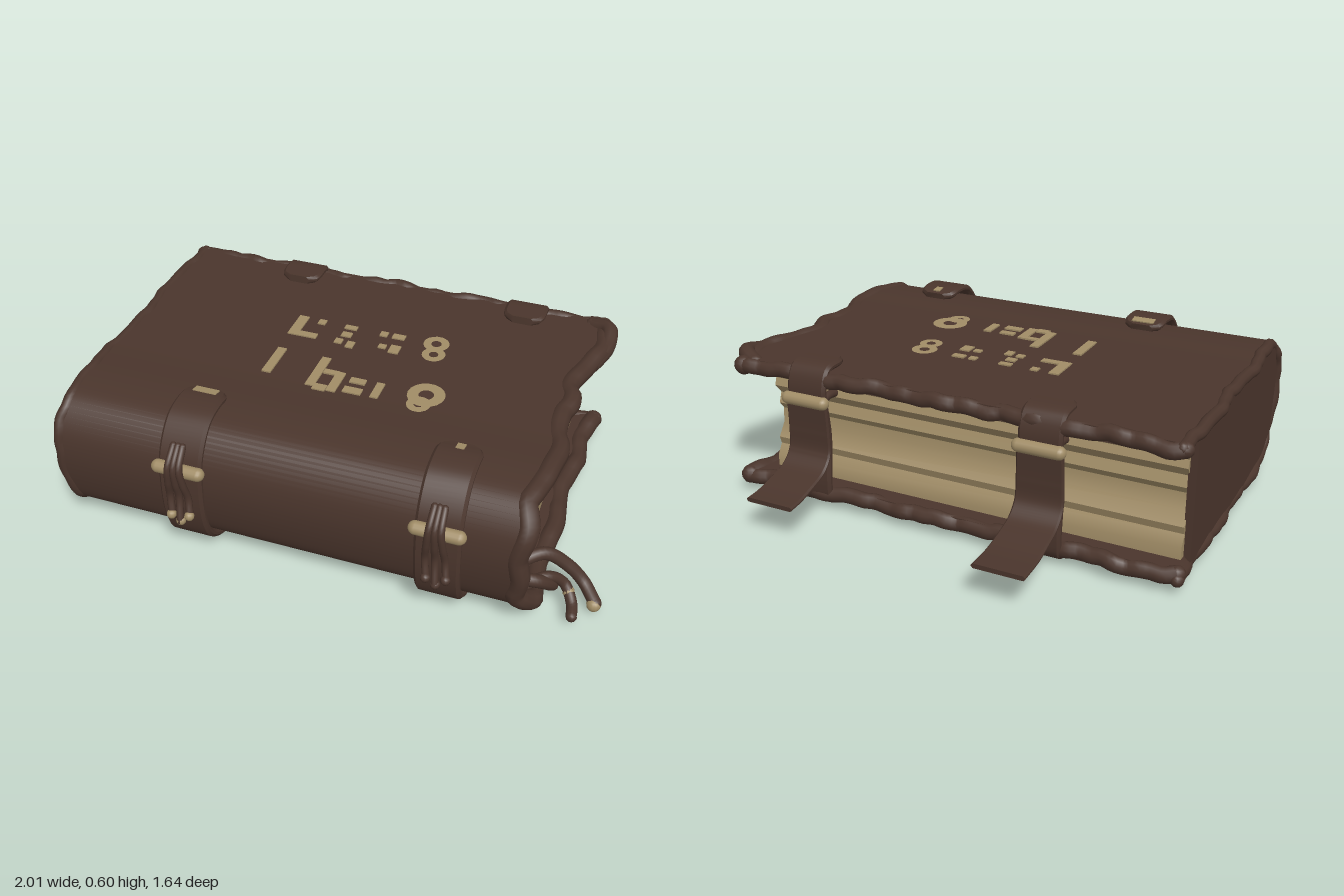
import * as THREE from 'three';
import { toCreasedNormals } from 'three/addons/utils/BufferGeometryUtils.js';

const leather = new THREE.MeshStandardMaterial({ color: 0x4a352c });
leather.name = 'brown leather';
const parchment = new THREE.MeshStandardMaterial({ color: 0xa08c66 });
parchment.name = 'parchment';

const V = (x, y, z) => new THREE.Vector3(x, y, z);
const curveZY = pts => new THREE.CatmullRomCurve3(pts.map(([z, y]) => V(0, y, z)), false, 'centripetal');
// irregular wobble for worn edges
const wobble = t => 0.5 * Math.sin(t * 17 + 1) + 0.3 * Math.sin(t * 41) + 0.2 * Math.sin(t * 83 + 2);

function add(parent, name, geo, mat, x = 0, y = 0, z = 0) {
  const mesh = new THREE.Mesh(geo, mat);
  mesh.name = name;
  mesh.position.set(x, y, z);
  parent.add(mesh);
  return mesh;
}

// bent sheet: a bevelled cross-section follows a curve in the z-y plane
function sheet(curve, thick, left, right, steps) {
  const pos = [], index = [], b = thick * 0.35, n = 8;
  for (let i = 0; i <= steps; i++) {
    const s = i / steps, p = curve.getPointAt(s), t = curve.getTangentAt(s);
    const l = left(s), r = right(s);
    const ring = [[l + b, 0], [r - b, 0], [r, -b], [r, b - thick],
      [r - b, -thick], [l + b, -thick], [l, b - thick], [l, -b]];
    for (const [x, d] of ring) pos.push(x, p.y + t.z * d, p.z - t.y * d);
  }
  for (let i = 0; i < steps; i++) for (let j = 0; j < n; j++) {
    const a = i * n + j, c = i * n + (j + 1) % n;
    index.push(a, a + n, c, a + n, c + n, c);
  }
  const e = steps * n;
  for (let j = 1; j < n - 1; j++) index.push(0, j, j + 1, e, e + j + 1, e + j);
  const g = new THREE.BufferGeometry();
  g.setAttribute('position', new THREE.Float32BufferAttribute(pos, 3));
  g.setIndex(index);
  return toCreasedNormals(g, 0.6);
}

// cord or rolled edge with rounded ends
function cord(parent, name, pts, r, mat = leather, steps = 24) {
  const c = new THREE.CatmullRomCurve3(pts, false, 'centripetal');
  const g = new THREE.Group();
  g.name = name;
  add(g, name + 'Run', new THREE.TubeGeometry(c, steps, r, 10), mat);
  for (const p of [pts[0], pts[pts.length - 1]])
    add(g, name + 'Tip', new THREE.SphereGeometry(r, 10, 8), mat, p.x, p.y, p.z);
  parent.add(g);
}

// solid with a z-y outline, spanning x0 to x1
function slab(outline, x0, x1) {
  const shape = new THREE.Shape(outline.map(([z, y]) => new THREE.Vector2(z, y)));
  const g = new THREE.ExtrudeGeometry(shape, { depth: x1 - x0, bevelEnabled: false });
  return toCreasedNormals(g.rotateY(-Math.PI / 2).translate(x1, 0, 0), 0.6);
}

// torn right edge of the cover, linear between (position along the wrap, x) pairs
const TORN = [[0, 0.79], [0.06, 0.82], [0.14, 0.755], [0.16, 0.74], [0.19, 0.78], [0.22, 0.755], [0.26, 0.76], [0.29, 0.795],
  [0.35, 0.78], [0.40, 0.75], [0.44, 0.78], [0.48, 0.75], [0.52, 0.765], [0.55, 0.75], [0.60, 0.80], [0.68, 0.77],
  [0.76, 0.79], [0.83, 0.76], [0.9, 0.79], [0.95, 0.77], [1, 0.80]];
function tornEdge(s) {
  let i = 0;
  while (i < TORN.length - 2 && s > TORN[i + 1][0]) i++;
  const [a, xa] = TORN[i], [b, xb] = TORN[i + 1];
  return THREE.MathUtils.lerp(xa, xb, (s - a) / (b - a));
}
const leftEdge = s => -0.982 + 0.012 * wobble(s * 2);

function createCover(book) {
  const path = curveZY([[-0.48, 0.55], [-0.3, 0.55], [0, 0.55], [0.3, 0.55], [0.52, 0.56], [0.64, 0.54], [0.71, 0.46],
    [0.735, 0.36], [0.725, 0.22], [0.69, 0.12], [0.6, 0.05], [0.45, 0.03], [0, 0.028], [-0.48, 0.035]]);
  add(book, 'cover', sheet(path, 0.05, leftEdge, tornEdge, 140), leather);

  // rolled leather along the open ends
  const roll = (x, inset, bump) => Array.from({ length: 61 }, (_, i) => {
    const s = i / 60, p = path.getPointAt(s), t = path.getTangentAt(s), d = inset + bump * wobble(s * 3);
    return V(x(s), p.y - t.z * d, p.z + t.y * d);
  });
  cord(book, 'rightRolledEdge', roll(s => tornEdge(s) - 0.03, 0.025, 0.006), 0.037, leather, 160);
  cord(book, 'leftRolledEdge', roll(s => leftEdge(s) + 0.01, 0.016, 0.003), 0.024, leather, 160);
  for (const [name, y] of [['topBackEdge', 0.525], ['bottomBackEdge', 0.06]]) {
    const pts = Array.from({ length: 41 }, (_, i) => {
      const t = i / 40;
      return V(-0.97 + 1.74 * t, y + 0.008 * wobble(t * 2 + y), -0.473 + 0.014 * wobble(t * 1.6 + y));
    });
    cord(book, name, pts, 0.03, leather, 100);
  }
  // curled corner at the upper right
  cord(book, 'curledCorner', [V(0.72, 0.53, -0.46), V(0.79, 0.55, -0.42), V(0.8, 0.53, -0.33), V(0.77, 0.52, -0.22)], 0.032);

  // closed left end
  const outline = path.getSpacedPoints(80).filter(p => p.z > -0.4).map(p => [p.z * 0.985, 0.29 + (p.y - 0.29) * 0.96]);
  add(book, 'leftEndWall', slab(outline, -0.985, -0.955), leather);
}

function createPages(book) {
  add(book, 'pages', slab([[-0.40, 0.07], [-0.40, 0.13], [-0.375, 0.17], [-0.385, 0.2], [-0.35, 0.25], [-0.345, 0.31],
    [-0.37, 0.34], [-0.355, 0.38], [-0.39, 0.42], [-0.38, 0.45], [-0.40, 0.48], [-0.40, 0.51], [0.55, 0.51],
    [0.63, 0.48], [0.68, 0.4], [0.69, 0.3], [0.68, 0.19], [0.64, 0.11], [0.57, 0.07]].reverse(), -0.96, 0.69), parchment);
}

function createStrap(book, x, tailEnd, tipMat) {
  const strap = new THREE.Group();
  strap.name = x < 0 ? 'rightStrap' : 'leftStrap';
  strap.position.x = x;
  book.add(strap);

  // band round the spine, underside and back, with rounded tongues on top
  const path = curveZY([[0.47, 0.585], [0.55, 0.6], [0.65, 0.58], [0.735, 0.48], [0.76, 0.36], [0.755, 0.2], [0.715, 0.1],
    [0.61, 0.025], [0.45, 0.008], [0, 0.003], [-0.45, 0.01], [-0.5, 0.04], [-0.51, 0.1], [-0.497, 0.3], [-0.515, 0.5],
    [-0.48, 0.57], [-0.35, 0.58]]);
  const half = s => {
    const e = Math.min(1, Math.min(s, 1 - s) / 0.02);
    return 0.082 * (0.55 + 0.45 * Math.sqrt(1 - (1 - e) ** 2));
  };
  add(strap, 'strapBand', sheet(path, 0.03, s => -half(s), half, 150), leather);

  // loose tail at the back
  const tail = curveZY([[tailEnd, 0.145], [-0.72, 0.15], [-0.64, 0.168], [-0.56, 0.195], [-0.52, 0.24], [-0.515, 0.32], [-0.52, 0.43]]);
  add(strap, 'strapTail', sheet(tail, 0.018, s => -0.1 + 0.01 * s, s => 0.095 - 0.01 * s, 50), leather);

  // pale loops holding the strap
  const bar = (name, len, y, z) => {
    const m = add(strap, name, new THREE.CapsuleGeometry(0.025, len, 6, 14), parchment, 0, y, z);
    m.rotation.z = Math.PI / 2;
  };
  bar('frontLoop', 0.15, 0.43, 0.758);
  bar('backLoop', 0.15, 0.445, -0.518);
  cord(strap, 'innerTieUpper', [V(-0.04, 0.43, -0.36), V(-0.04, 0.44, -0.43), V(-0.04, 0.42, -0.5)], 0.016);
  cord(strap, 'innerTieLower', [V(0.03, 0.37, -0.35), V(0.03, 0.35, -0.42), V(0.03, 0.36, -0.5)], 0.014);

  // hanging laces with knotted ends
  [[-0.035, 0.25], [0.0, 0.23], [0.035, 0.26]].forEach(([dx, y], i) => {
    cord(strap, 'lace', [V(dx * 0.5, 0.52, 0.735), V(dx * 0.6, 0.46, 0.785), V(dx * 0.8, 0.39, 0.785),
      V(dx, 0.32, 0.772), V(dx + 0.01, y, 0.79 + 0.01 * (i % 2))], 0.013);
    add(strap, 'laceKnot', new THREE.SphereGeometry(0.018, 10, 8), tipMat, dx + 0.01, y, 0.795);
  });
  // worn patch on the front tongue
  const patch = tipMat === parchment ? 0.09 : 0.03;
  add(strap, 'wornPatch', new THREE.BoxGeometry(patch, 0.008, 0.035), parchment, 0, 0.592, 0.502).rotation.x = -0.18;
}

function createCoverMarks(book) {
  const marks = new THREE.Group();
  marks.name = 'coverOrnament';
  book.add(marks);
  // faded flecks: x, z, width, depth
  for (const [x, z, w, d] of [[-0.355, -0.05, 0.04, 0.13], [-0.3, 0, 0.08, 0.03], [-0.275, -0.1, 0.03, 0.03],
    [-0.155, -0.1, 0.05, 0.025], [-0.155, -0.05, 0.04, 0.03], [-0.17, 0, 0.03, 0.03], [-0.12, 0.01, 0.03, 0.04],
    [-0.02, -0.1, 0.03, 0.03], [0.04, -0.1, 0.05, 0.03], [0, -0.02, 0.03, 0.025], [0.05, -0.015, 0.04, 0.05],
    [-0.352, 0.195, 0.035, 0.16], [-0.17, 0.21, 0.035, 0.18], [-0.13, 0.3, 0.05, 0.035], [-0.085, 0.25, 0.035, 0.12],
    [-0.12, 0.2, 0.06, 0.025], [-0.01, 0.22, 0.06, 0.03], [-0.01, 0.28, 0.07, 0.035], [0.075, 0.25, 0.03, 0.09]])
    add(marks, 'fleck', new THREE.BoxGeometry(w, 0.009, d), parchment, x, 0.551, z);
  for (const [x, z, r] of [[0.19, -0.1, 0.05], [0.2, -0.03, 0.045], [0.25, 0.22, 0.07], [0.24, 0.28, 0.045]])
    add(marks, 'fadedRing', new THREE.RingGeometry(r * 0.4, r, 18).rotateX(-Math.PI / 2), parchment, x, 0.555, z);
}

function createBookmark(book) {
  // knotted cords at the lower right end of the spine
  cord(book, 'longCord', [V(0.7, 0.19, 0.56), V(0.78, 0.2, 0.5), V(0.86, 0.14, 0.47), V(0.92, 0.08, 0.47), V(0.975, 0.04, 0.52)], 0.024);
  cord(book, 'forkedCord', [V(0.72, 0.12, 0.62), V(0.8, 0.15, 0.56), V(0.86, 0.1, 0.52), V(0.9, 0.05, 0.56), V(0.91, 0.04, 0.61)], 0.02);
  cord(book, 'loopedCord', [V(0.7, 0.18, 0.63), V(0.78, 0.16, 0.6), V(0.82, 0.09, 0.53), V(0.79, 0.04, 0.48)], 0.024);
  add(book, 'longCordKnot', new THREE.SphereGeometry(0.026, 12, 8), parchment, 0.972, 0.035, 0.525);
  add(book, 'forkedCordKnot', new THREE.SphereGeometry(0.022, 12, 8), parchment, 0.88, 0.075, 0.53);
}

export function createModel() {
  const book = new THREE.Group();
  book.name = 'leatherBook';
  createCover(book);
  createPages(book);
  createStrap(book, -0.48, -0.83, parchment);
  createStrap(book, 0.46, -0.78, leather);
  createCoverMarks(book);
  createBookmark(book);
  return book;
}
